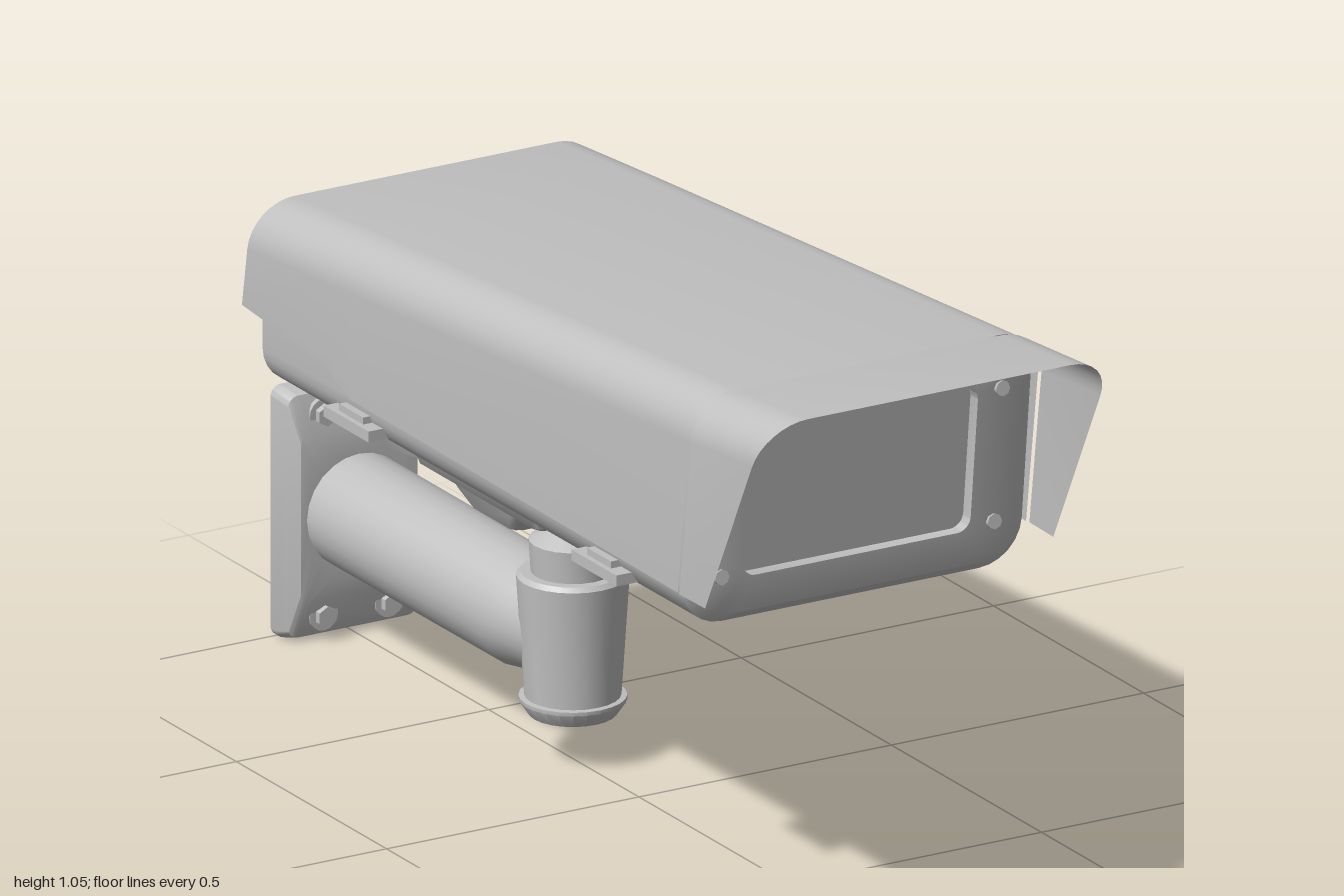
import * as THREE from 'three';
import { toCreasedNormals } from 'three/addons/utils/BufferGeometryUtils.js';

const paint = new THREE.MeshStandardMaterial({ color: 0xc0c0c0, side: THREE.DoubleSide });
paint.name = 'light grey paint';

// Skin a surface through sections (arrays of [x, y, z] with equal counts).
function loft(sections, { closed = true, capStart = false, capEnd = false, crease = 0.6 } = {}) {
  const n = sections[0].length, index = [], pos = sections.flat(2);
  const steps = closed ? n : n - 1;
  for (let s = 0; s < sections.length - 1; s++) {
    for (let i = 0; i < steps; i++) {
      const a = s * n + i, b = s * n + (i + 1) % n;
      index.push(a, b, b + n, a, b + n, a + n);
    }
  }
  const last = (sections.length - 1) * n;
  for (let i = 1; i < n - 1; i++) {
    if (capStart) index.push(0, i + 1, i);
    if (capEnd) index.push(last, last + i, last + i + 1);
  }
  const g = new THREE.BufferGeometry();
  g.setAttribute('position', new THREE.Float32BufferAttribute(pos, 3));
  g.setIndex(index);
  return toCreasedNormals(g, crease);
}

// Rounded rectangle, anticlockwise, as 2D points.
function roundRect(x0, x1, y0, y1, r, n = 6) {
  const pts = [];
  [[x1 - r, y1 - r], [x0 + r, y1 - r], [x0 + r, y0 + r], [x1 - r, y0 + r]].forEach(([cx, cy], q) => {
    for (let i = 0; i <= n; i++) {
      const a = (q + i / n) * Math.PI / 2;
      pts.push([cx + r * Math.cos(a), cy + r * Math.sin(a)]);
    }
  });
  return pts;
}

// Ring facing z; z may be a function of y for slanted ends.
const ringZ = (w, y0, y1, r, z) =>
  roundRect(-w, w, y0, y1, r).map(([x, y]) => [x, y, typeof z === 'function' ? z(y) : z]);
// Ring lying flat at height y.
const ringY = (w, z0, z1, r, y) =>
  roundRect(-w, w, z0, z1, r, 2).map(([x, z]) => [x, y, z]);

// Open arch: up one side, over the top, down the other.
function arch(w, bottom, top, r, z) {
  const pts = [[w, bottom]];
  for (const side of [1, -1]) {
    for (let i = 0; i <= 8; i++) {
      const a = side > 0 ? i / 8 * Math.PI / 2 : (1 + i / 8) * Math.PI / 2;
      pts.push([side * (w - r) + r * Math.cos(a), top - r + r * Math.sin(a)]);
    }
  }
  pts.push([-w, bottom]);
  return pts.map(([x, y]) => [x, y, z(y)]);
}

// z along a straight slanted edge between two heights
const slant = (y0, z0, y1, z1) => (y) => z0 + (z1 - z0) * (y - y0) / (y1 - y0);

export function createModel() {
  const model = new THREE.Group();
  const add = (name, geometry, parent = model) => {
    const m = new THREE.Mesh(geometry, paint);
    m.name = name;
    parent.add(m);
    return m;
  };

  // Housing: window recess, frame, outer skin, rear rim and deep open cavity
  const front = (d) => slant(0.6, 0.715 + d, 1.03, 0.762 + d);
  add('housing', loft([
    ringZ(0.225, 0.68, 0.95, 0.025, front(-0.025)),
    ringZ(0.225, 0.68, 0.95, 0.025, front(0)),
    ringZ(0.31, 0.615, 1.01, 0.07, front(0)),
    ringZ(0.335, 0.6, 1.025, 0.08, front(-0.012)),
    ringZ(0.335, 0.6, 0.918, 0.07, -0.69),
    ringZ(0.3, 0.635, 0.895, 0.05, -0.69),
    ringZ(0.3, 0.635, 0.99, 0.05, 0.65),
  ], { capStart: true, capEnd: true }));

  // Sloping sun cover with raised rear skirts
  const edge = (d) => slant(0.67, 0.713 + d, 1.04, 0.765 + d);
  add('sunCover', loft([
    arch(0.345, 0.67, 1.04, 0.085, edge(-0.004)),
    arch(0.345, 0.675, 0.952, 0.085, () => -0.38),
    arch(0.345, 0.712, 0.945, 0.085, () => -0.47),
    arch(0.345, 0.733, 0.925, 0.085, slant(0.733, -0.742, 0.925, -0.71)),
  ], { closed: false }));

  // Front visor with a raked leading edge
  add('visor', loft([
    arch(0.345, 0.67, 1.061, 0.085, slant(0.67, 0.8, 1.061, 1)),
    arch(0.347, 0.67, 1.042, 0.085, edge(0.004)),
  ], { closed: false }));

  // Screws at the window frame corners
  for (const x of [-0.27, 0.27]) {
    for (const y of [0.69, 0.94]) {
      const s = add('frameScrew', new THREE.CylinderGeometry(0.014, 0.014, 0.01, 8));
      s.rotation.x = Math.PI / 2 - 0.11;
      s.position.set(x, y, front(0.002)(y));
    }
  }

  // Side latches under the cover
  for (const side of [-1, 1]) {
    for (const z of [0.45, -0.375]) {
      const latch = new THREE.Group();
      latch.name = 'sideLatch';
      latch.position.set(side * 0.33, 0.64, z);
      add('latchPlate', new THREE.BoxGeometry(0.054, 0.02, 0.15), latch).position.y = -0.005;
      add('latchHook', new THREE.BoxGeometry(0.034, 0.035, 0.08), latch);
      model.add(latch);
    }
  }

  // Small drain plugs in the belly
  for (const z of [0.4, 0.45, 0.5]) {
    add('drainPlug', new THREE.CylinderGeometry(0.008, 0.008, 0.008, 8)).position.set(0, 0.598, z);
  }

  // Tapered mounting blocks below the housing
  const caps = { capStart: true, capEnd: true };
  add('mountBlock', loft([
    ringY(0.225, -0.425, 0.005, 0.02, 0.602), ringY(0.222, -0.425, 0.005, 0.02, 0.585),
    ringY(0.195, -0.42, -0.01, 0.02, 0.525), ringY(0.185, -0.41, -0.02, 0.02, 0.518),
  ], caps));
  add('cableBlock', loft([
    ringY(0.215, -0.665, -0.438, 0.03, 0.602), ringY(0.21, -0.66, -0.438, 0.03, 0.57),
    ringY(0.185, -0.645, -0.438, 0.03, 0.518),
  ], caps));
  add('swivelPlate', loft([
    ringY(0.18, -0.335, -0.112, 0.02, 0.52), ringY(0.175, -0.33, -0.115, 0.02, 0.507),
    ringY(0.16, -0.3, -0.145, 0.02, 0.475),
  ], caps));

  // Swivel joint and vertical elbow
  const lathe = (pts, seg) => toCreasedNormals(
    new THREE.LatheGeometry(pts.map(([x, y]) => new THREE.Vector2(x, y)), seg), 0.6);
  add('swivelJoint', lathe([
    [0.072, 0.345], [0.076, 0.41], [0.062, 0.418], [0.04, 0.43], [0.036, 0.445],
    [0.055, 0.46], [0.085, 0.478],
  ], 20)).position.z = -0.22;
  add('elbow', lathe([
    [0, 0.095], [0.076, 0.095], [0.093, 0.12], [0.093, 0.127], [0.083, 0.128],
    [0.097, 0.345], [0.09, 0.353], [0, 0.353],
  ], 24)).position.z = -0.22;

  // Horizontal arm with a flared root at the elbow
  add('arm', loft([
    ringZ(0.085, 0.15, 0.32, 0.085, -0.23),
    ringZ(0.09, 0.145, 0.325, 0.09, -0.3),
    ringZ(0.102, 0.134, 0.338, 0.102, -0.36),
    ringZ(0.103, 0.132, 0.338, 0.103, -0.94),
  ]));

  // Wall plate: domed front, hollow back, cable bore running into the arm
  add('wallPlate', loft([
    ringZ(0.1, 0.135, 0.335, 0.1, -0.932),
    ringZ(0.115, 0.085, 0.39, 0.02, -0.932),
    ringZ(0.128, 0.018, 0.457, 0.02, -0.953),
    ringZ(0.135, 0.01, 0.465, 0.02, -0.985),
    ringZ(0.135, 0.01, 0.465, 0.02, -1),
    ringZ(0.118, 0.027, 0.448, 0.015, -1),
    ringZ(0.112, 0.033, 0.442, 0.015, -0.965),
    ringZ(0.085, 0.15, 0.32, 0.085, -0.965),
    ringZ(0.085, 0.15, 0.32, 0.085, -0.35),
  ], { capEnd: true }));

  // Four wall bolts with washers
  for (const x of [-0.065, 0.065]) {
    for (const y of [0.055, 0.42]) {
      const bolt = new THREE.Group();
      bolt.name = 'wallBolt';
      bolt.position.set(x, y, -0.945);
      bolt.rotation.x = Math.PI / 2;
      add('washer', new THREE.CylinderGeometry(0.028, 0.028, 0.012, 16), bolt);
      const hex = new THREE.CylinderGeometry(0.019, 0.019, 0.018, 6).toNonIndexed();
      hex.computeVertexNormals();
      add('hexHead', hex, bolt).position.y = 0.01;
      add('shank', new THREE.CylinderGeometry(0.011, 0.011, 0.045, 10), bolt).position.y = -0.02;
      model.add(bolt);
    }
  }
  return model;
}
